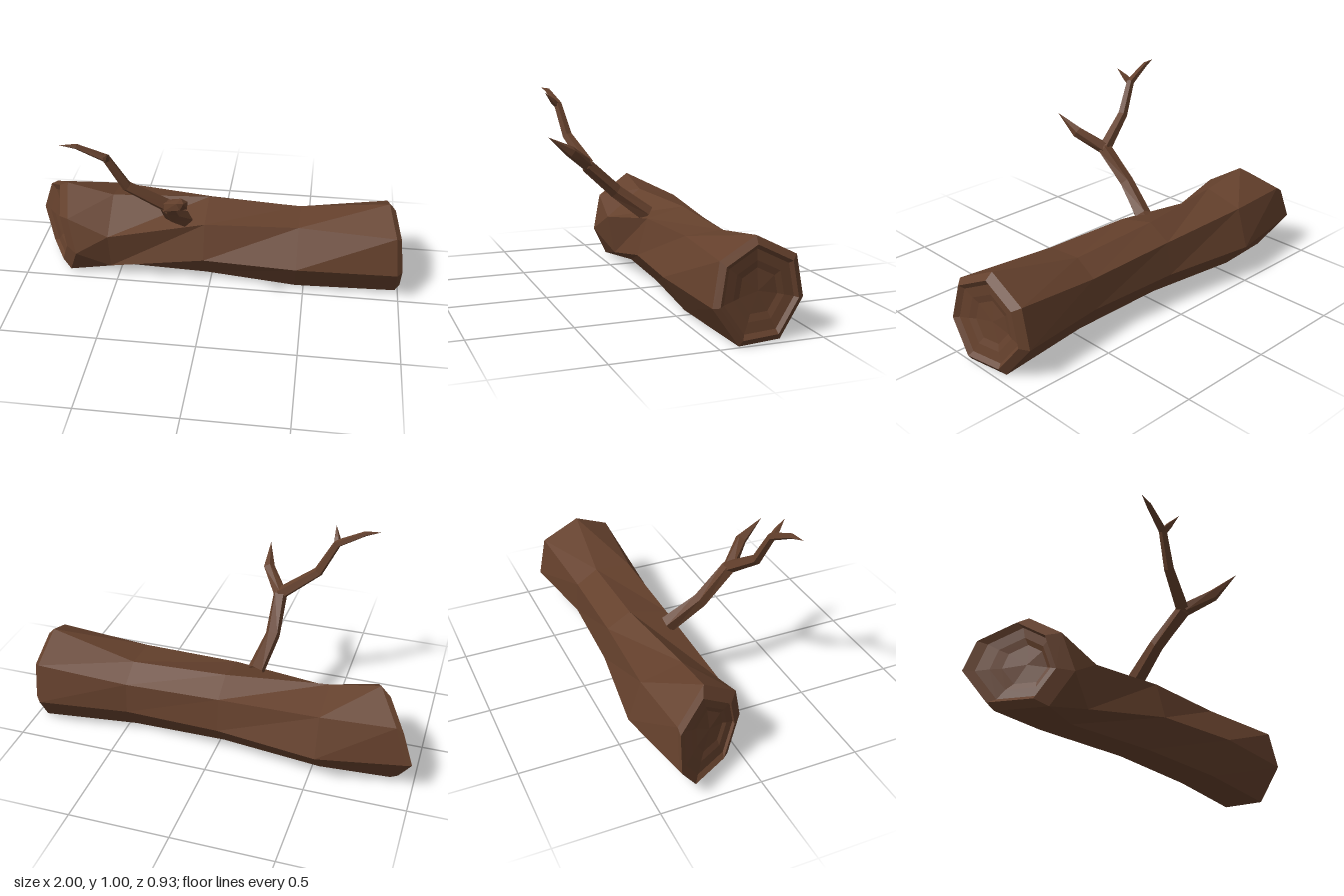
import * as THREE from 'three';

const bark = new THREE.MeshStandardMaterial({ color: 0x64402c, flatShading: true, side: THREE.DoubleSide });
const V = (x, y, z) => new THREE.Vector3(x, y, z);

// Skin a list of rings with flat facets
function loft(name, rings) {
  const pos = [];
  const tri = (...pts) => pts.forEach(p => pos.push(p.x, p.y, p.z));
  for (let i = 0; i < rings.length - 1; i++) {
    const r = rings[i], s = rings[i + 1], n = r.length;
    for (let j = 0; j < n; j++) {
      const k = (j + 1) % n;
      tri(r[j], s[j], s[k]);
      tri(r[j], s[k], r[k]);
    }
  }
  const geo = new THREE.BufferGeometry();
  geo.setAttribute('position', new THREE.Float32BufferAttribute(pos, 3));
  geo.computeVertexNormals();
  const mesh = new THREE.Mesh(geo, bark);
  mesh.name = name;
  return mesh;
}

// Seven-sided trunk sections: top, upper back, back, lower back, lower front, front, upper front
const trunk = [
  [[-0.79, 0.47, -0.2], [-0.9, 0.37, -0.375], [-0.965, 0.18, -0.395], [-0.885, 0, -0.28],
    [-0.77, 0.005, -0.06], [-0.71, 0.17, 0.03], [-0.755, 0.355, -0.02]],
  [[-0.54, 0.42, -0.19], [-0.54, 0.37, -0.4], [-0.54, 0.17, -0.465], [-0.54, 0.03, -0.34],
    [-0.54, 0.01, -0.14], [-0.54, 0.06, -0.04], [-0.54, 0.27, 0]],
  [[-0.03, 0.41, -0.25], [-0.03, 0.34, -0.37], [-0.03, 0.17, -0.395], [-0.03, 0.03, -0.28],
    [-0.03, 0.025, -0.1], [-0.03, 0.17, 0.005], [-0.03, 0.36, -0.05]],
  [[0.46, 0.39, -0.25], [0.46, 0.32, -0.36], [0.46, 0.16, -0.37], [0.46, 0.01, -0.26],
    [0.46, 0.01, -0.06], [0.46, 0.185, 0.052], [0.46, 0.375, -0.06]],
  [[0.92, 0.47, -0.2], [0.92, 0.37, -0.4], [0.915, 0.17, -0.44], [0.95, 0, -0.31],
    [0.985, 0, -0.095], [0.98, 0.18, 0.03], [0.96, 0.38, -0.01]],
].map(ring => ring.map(p => V(...p)));

// Bevelled rim and shallow stepped dish: [scale, offset along the end's normal]
const endSteps = [[1, 0], [0.86, 0.04], [0.77, 0.015], [0.56, 0.005], [0.42, -0.01], [0, -0.015]];
function endRings(ring, normal, depth) {
  const c = V(0, 0, 0);
  ring.forEach(p => c.addScaledVector(p, 1 / ring.length));
  return endSteps.map(([s, o]) => ring.map(p => c.clone().lerp(p, s).addScaledVector(normal, o * depth)));
}

// Five-sided tapering limb along points [x, y, z, radius]
function limb(name, path) {
  const pts = path.map(p => V(p[0], p[1], p[2]));
  const rings = pts.map((p, i) => {
    const before = pts[Math.max(i - 1, 0)], after = pts[Math.min(i + 1, pts.length - 1)];
    const t = after.clone().sub(before).normalize();
    const n = V(0.3, 0, 1).cross(t).normalize();
    const b = t.clone().cross(n);
    return Array.from({ length: 5 }, (_, j) => {
      const a = (j / 5) * Math.PI * 2;
      return p.clone()
        .addScaledVector(n, Math.cos(a) * path[i][3])
        .addScaledVector(b, -Math.sin(a) * path[i][3]);
    });
  });
  return loft(name, rings);
}

export function createModel() {
  const model = new THREE.Group();
  model.name = 'fallenLog';

  // Trunk and its two cut ends
  model.add(loft('trunk', trunk));
  model.add(loft('rightCutEnd', endRings(trunk[0], V(-0.86, 0, -0.51), 1.35).reverse()));
  model.add(loft('leftCutEnd', endRings(trunk[4], V(0.98, 0, 0.2), 0.75)));

  // Forked dead branch
  const branch = new THREE.Group();
  branch.name = 'branch';
  branch.add(
    limb('branchStem', [[-0.14, 0.36, -0.09, 0.045], [-0.18, 0.485, 0.07, 0.038],
      [-0.172, 0.63, 0.225, 0.037], [-0.168, 0.665, 0.255, 0.015]]),
    limb('frontFork', [[-0.172, 0.635, 0.23, 0.034], [-0.08, 0.72, 0.34, 0.03], [-0.055, 0.802, 0.463, 0]]),
    limb('longFork', [[-0.17, 0.635, 0.225, 0.034], [-0.355, 0.765, 0.28, 0.026], [-0.44, 0.925, 0.307, 0.021],
      [-0.575, 0.99, 0.328, 0.013], [-0.65, 1, 0.345, 0]]),
    limb('twig', [[-0.44, 0.915, 0.305, 0.018], [-0.432, 0.945, 0.335, 0.016], [-0.415, 0.99, 0.383, 0]]),
  );
  model.add(branch);
  return model;
}
